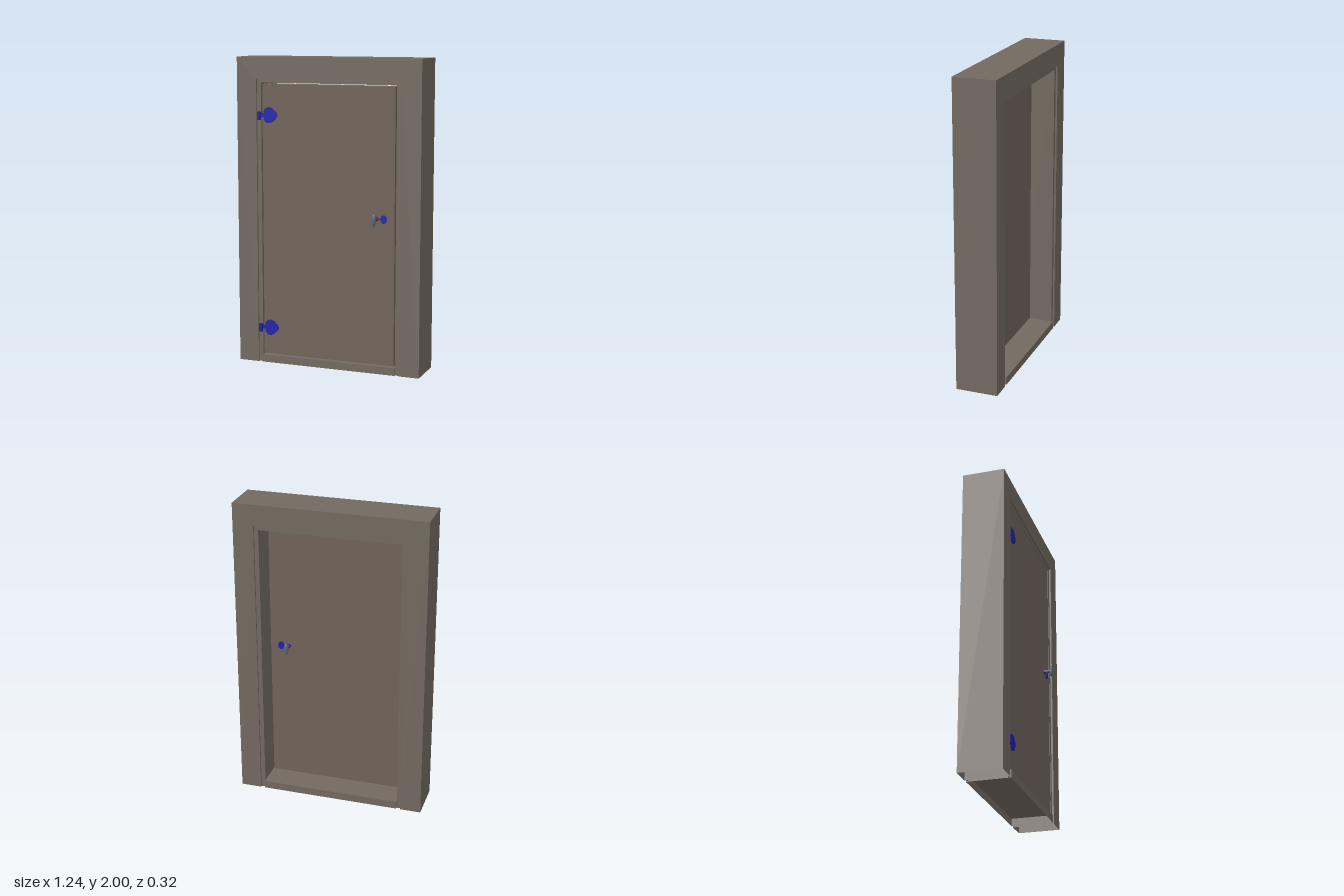
import * as THREE from 'three';

const mat = (color) => new THREE.MeshStandardMaterial({ color, side: THREE.DoubleSide });
const WOOD = mat(0x736a60), DOOR = mat(0x70645a), BLUE = mat(0x2222a8);
const STEM = mat(0x7c463c), KNOB = mat(0x586878);

function add(parent, name, geometry, material, x = 0, y = 0, z = 0) {
  const mesh = new THREE.Mesh(geometry, material);
  mesh.name = name;
  mesh.position.set(x, y, z);
  parent.add(mesh);
  return mesh;
}

// Removes the triangles lying on the ground, leaving a hollow shell
function openBottom(geometry) {
  const g = geometry.index ? geometry.toNonIndexed() : geometry;
  const p = g.attributes.position, kept = [];
  for (let i = 0; i < p.count; i += 3) {
    if ([0, 1, 2].every((k) => p.getY(i + k) < 0.001)) continue;
    for (let k = 0; k < 3; k++) kept.push(p.getX(i + k), p.getY(i + k), p.getZ(i + k));
  }
  const out = new THREE.BufferGeometry();
  out.setAttribute('position', new THREE.Float32BufferAttribute(kept, 3));
  out.computeVertexNormals();
  return out;
}

// Upside-down U standing on the ground
function portal(outerX, outerY, innerX, innerY, z0, z1) {
  const shape = new THREE.Shape([
    [-outerX, 0], [-innerX, 0], [-innerX, innerY], [innerX, innerY],
    [innerX, 0], [outerX, 0], [outerX, outerY], [-outerX, outerY],
  ].map(([x, y]) => new THREE.Vector2(x, y)).reverse());
  const g = new THREE.ExtrudeGeometry(shape, { depth: z1 - z0, bevelEnabled: false });
  return openBottom(g.translate(0, 0, z0));
}

// Leaf hinge: pin, strap and a rounded leaf with a blunt tip
function hinge(y) {
  const g = new THREE.Group();
  g.name = 'hinge';
  g.position.set(-0.47, y, 0.1);
  add(g, 'hingePin', new THREE.CylinderGeometry(0.013, 0.013, 0.055, 12), BLUE, 0, -0.005, 0.003);
  add(g, 'hingeStrap', new THREE.BoxGeometry(0.06, 0.024, 0.008), BLUE, 0.025, 0, 0);
  const leaf = new THREE.Shape();
  leaf.moveTo(0.03, -0.015);
  leaf.bezierCurveTo(0.035, -0.06, 0.085, -0.06, 0.105, -0.03);
  leaf.quadraticCurveTo(0.128, -0.012, 0.125, 0);
  leaf.quadraticCurveTo(0.128, 0.012, 0.105, 0.03);
  leaf.bezierCurveTo(0.085, 0.06, 0.035, 0.06, 0.03, 0.015);
  add(g, 'hingeLeaf', new THREE.ExtrudeGeometry(leaf, { depth: 0.01, bevelEnabled: false }), BLUE, 0, 0, -0.007);
  return g;
}

// Oval knob on a stem, with a rosette and a lock cover beside it
function handle() {
  const g = new THREE.Group();
  g.name = 'handle';
  const disc = (r, h) => new THREE.CylinderGeometry(r, r, h, 20).rotateX(Math.PI / 2);
  add(g, 'rosette', disc(0.015, 0.008), BLUE, 0, 0, 0.003);
  add(g, 'lockBar', new THREE.BoxGeometry(0.05, 0.006, 0.005), BLUE, 0.025, 0, 0.002);
  add(g, 'lockCover', disc(0.02, 0.01), BLUE, 0.05, 0, 0.003).scale.y = 1.35;
  add(g, 'knobStem', disc(0.01, 0.046), STEM, 0, 0, 0.02);
  const profile = [[0, 0], [0.6, 0.002], [1, 0.013], [0.85, 0.019], [0.5, 0.023], [0, 0.024]]
    .map(([r, h]) => new THREE.Vector2(r, h));
  add(g, 'knob', new THREE.LatheGeometry(profile, 20).rotateX(Math.PI / 2), KNOB, 0, 0, 0.038)
    .scale.set(0.016, 0.041, 1);
  return g;
}

export function createModel() {
  const model = new THREE.Group();
  model.name = 'door';

  // Wall surround, recessed jamb and sill
  add(model, 'wallSurround', portal(0.62, 2, 0.485, 1.86, -0.165, 0.11), WOOD);
  add(model, 'jamb', portal(0.485, 1.86, 0.457, 1.837, -0.153, 0.098), WOOD);
  const sill = new THREE.BoxGeometry(0.914, 0.05, 0.275).translate(0, 0.025, -0.0275);
  add(model, 'sill', openBottom(sill), WOOD);

  // Door panel with a narrow gap all round
  add(model, 'doorPanel', new THREE.BoxGeometry(0.896, 1.77, 0.095), DOOR, 0, 0.943, 0.05);

  for (const y of [1.63, 0.235]) model.add(hinge(y));

  // Handles on both faces
  const front = handle();
  front.position.set(0.327, 1, 0.0975);
  const back = handle();
  back.position.set(0.327, 1, 0.0025);
  back.scale.z = -1;
  model.add(front, back);
  return model;
}
